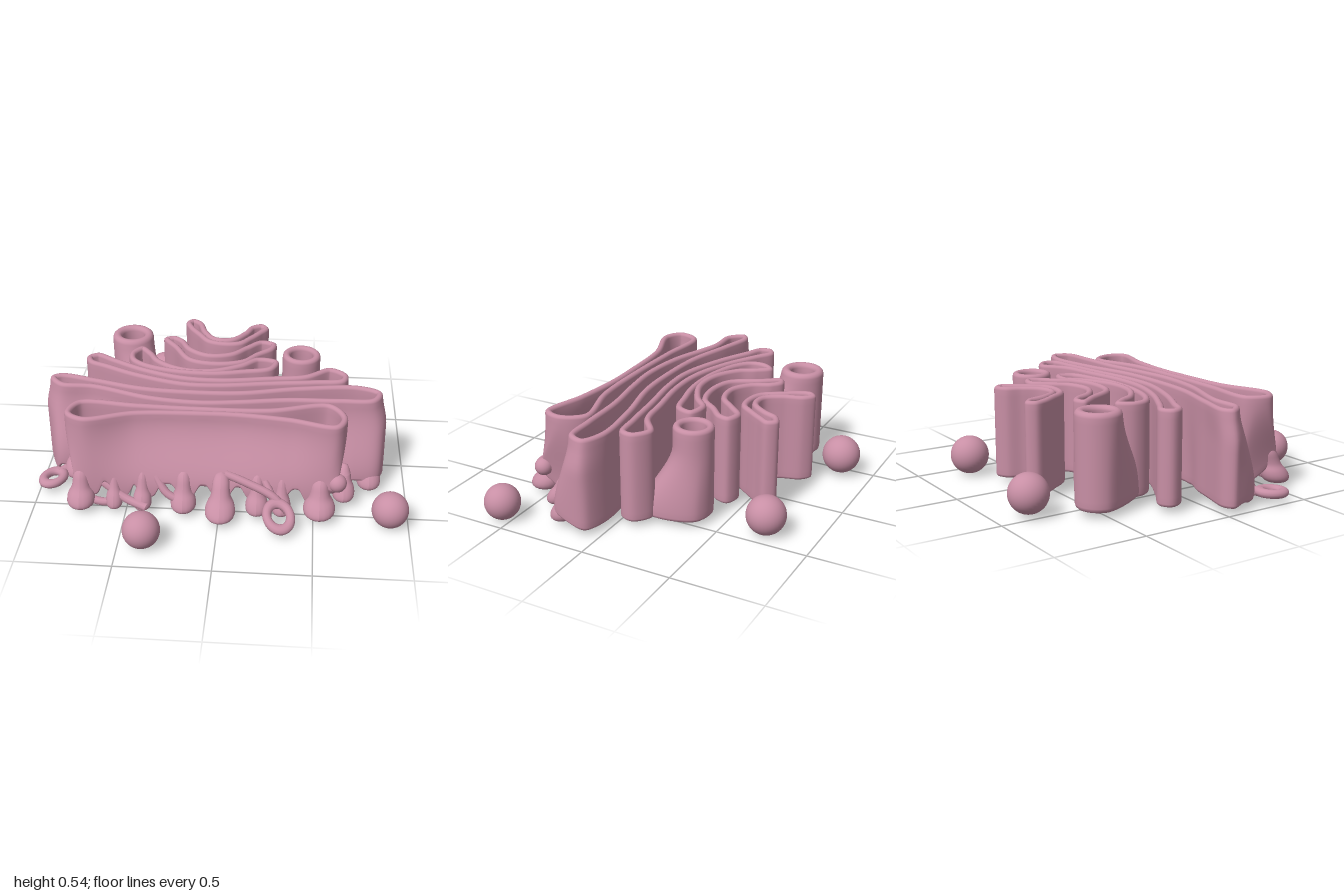
import * as THREE from 'three';

const smooth = THREE.MathUtils.smoothstep;
const lerp = THREE.MathUtils.lerp;
const BOTTOM = 0.03, TOP = 0.535;

// Outlines of the folded sacs in hundredths of a unit (x, z), running clockwise seen from above
const SACS = [
  [-29, -68, -25, -72, -19, -68, -15, -57, -9, -49, -1, -49, 6, -57, 10, -65, 17, -68, 21, -63, 17, -56, 12, -49, 6, -42, -3, -40, -14, -43, -21, -52, -27, -61],
  [-40, -46, -34, -49, -28, -45, -22, -35, -12, -29, 0, -31, 8, -39, 17, -47, 26, -44, 25, -37, 17, -29, 9, -20, -7, -16, -23, -20, -33, -35],
  [-57, -28, -51, -35, -44, -28, -39, -20, -26, -12, -10, -11, 6, -18, 16, -26, 28, -23, 25, -13, 9, -8, -7, -5, -29, -6, -48, -12, -56, -19],
  [-81, -21, -75, -25, -64, -19, -45, -9, -23, -2, -2, -1, 25, -5, 43, -8, 57, -17, 67, -10, 65, -2, 49, 1, 25, 4, -2, 8, -23, 8, -50, 0, -69, -9, -79, -14],
];
const WIDE_SAC = [-97, 4, -92, 0, -72, 4, -45, 11, -18, 13, 9, 12, 41, 5, 73, 2, 85, 8, 81, 18, 62, 20, 35, 21, 9, 25, -13, 27, -40, 24, -72, 14, -90, 13];
const FRONT_SAC = [-82, 41, -77, 28, -45, 29, -13, 30, 25, 29, 57, 22, 66, 35, 61, 46, 35, 41, 9, 38, -13, 38, -45, 40, -72, 48];

// Drips under the front sac: x, bulb radius
const DRIPS = [[-0.74, 0.075], [-0.56, 0.045], [-0.41, 0.05], [-0.19, 0.068], [0.01, 0.08], [0.2, 0.06], [0.33, 0.05], [0.53, 0.085]];

const outline = (a) => {
  const pts = [];
  for (let i = 0; i < a.length; i += 2) pts.push(new THREE.Vector3(a[i] / 100, 0, a[i + 1] / 100));
  return pts;
};
const circle = (cx, cz, r) => Array.from({ length: 16 }, (_, i) => {
  const a = (i / 16) * Math.PI * 2;
  return new THREE.Vector3(cx + Math.cos(a) * r, 0, cz + Math.sin(a) * r);
});

// Closed upright wall with rounded lips; base(p) gives the lower edge, bend(p) moves each vertex
function wallGeometry(pts, { t = 0.036, base = () => BOTTOM, bend = () => {}, n = 200 } = {}) {
  const curve = new THREE.CatmullRomCurve3(pts, true, 'centripetal');
  const section = []; // [distance outward, height 0..1, lip offset]
  const r = t / 2, rows = 14;
  for (let j = 0; j <= rows; j++) section.push([0, j / rows, 0]);
  for (let j = 1; j < 6; j++) section.push([-r + r * Math.cos(j * Math.PI / 6), 1, r * Math.sin(j * Math.PI / 6)]);
  for (let j = rows; j >= 0; j--) section.push([-t, j / rows, 0]);
  for (let j = 1; j < 6; j++) section.push([-r - r * Math.cos(j * Math.PI / 6), 0, -r * Math.sin(j * Math.PI / 6)]);
  const m = section.length, pos = [], idx = [], v = new THREE.Vector3();
  for (let i = 0; i < n; i++) {
    const p = curve.getPointAt(i / n), d = curve.getTangentAt(i / n);
    const low = base(p) + r;
    section.forEach(([o, h, lip], j) => {
      v.set(p.x + d.z * o, lerp(low, TOP - r, h) + lip, p.z - d.x * o);
      bend(v, p);
      pos.push(v.x, v.y, v.z);
      const i2 = (i + 1) % n, j2 = (j + 1) % m;
      const a = i * m + j, b = i2 * m + j, c = i2 * m + j2, e = i * m + j2;
      idx.push(a, e, b, b, e, c);
    });
  }
  const g = new THREE.BufferGeometry();
  g.setAttribute('position', new THREE.Float32BufferAttribute(pos, 3));
  g.setIndex(idx);
  g.computeVertexNormals();
  return g;
}

export function createModel() {
  const model = new THREE.Group();
  const pink = new THREE.MeshStandardMaterial({ color: 0xc88fa5 });
  pink.name = 'dusty pink';
  const add = (name, geometry, x = 0, y = 0, z = 0) => {
    const mesh = new THREE.Mesh(geometry, pink);
    mesh.name = name;
    mesh.position.set(x, y, z);
    model.add(mesh);
  };
  const strand = (pts, r) => add('strand', new THREE.TubeGeometry(
    new THREE.CatmullRomCurve3(pts.map((p) => new THREE.Vector3(...p))), 20, r, 10));

  // Straight folded sacs
  SACS.forEach((a, i) => add('foldedSac' + (i + 1), wallGeometry(outline(a))));

  // Widest sac, its two ends swelling forward near the floor and gently arched on the front side
  const sacEnd = (p) => smooth(Math.abs(p.x), 0.45, 0.7) * smooth(p.z, 0.05, 0.17);
  add('wideSac', wallGeometry(outline(WIDE_SAC), {
    n: 320,
    base: (p) => BOTTOM + 0.05 * sacEnd(p) * smooth(Math.abs(Math.sin(p.x * 24)), 0.2, 0.9),
    bend: (v, p) => {
      v.z += (p.x > 0 ? 0.09 : 0.12) * (1 - smooth(v.y, 0.1, 0.5)) * sacEnd(p);
      v.x += Math.sign(p.x) * 0.03 * (1 - smooth(v.y, 0.35, 0.53)) * smooth(Math.abs(p.x), 0.6, 0.85);
    },
  }));

  // Front sac, sloping forward to a common line and arched between its drips
  const front = (p) => smooth(p.z, 0.3, 0.38);
  add('frontSac', wallGeometry(outline(FRONT_SAC), {
    n: 320,
    base: (p) => {
      const gap = Math.min(...DRIPS.map((d) => Math.abs(d[0] - p.x)));
      return BOTTOM + 0.13 * front(p) * (0.35 + 0.65 * smooth(gap, 0.02, 0.09));
    },
    bend: (v, p) => {
      v.z += Math.max(0, 0.515 - p.z) * (1 - smooth(v.y, 0.12, 0.5)) * front(p);
      v.x *= 1 - 0.08 * (1 - smooth(v.y, 0.05, 0.48));
    },
  }));

  // Two round tubes at the back, stretched toward the stack below the height "from"
  const backTube = (name, cx, cz, r, t, sx, sz, from, widen) => add(name, wallGeometry(circle(cx, cz, r), {
    t, n: 64,
    bend: (v, p) => {
      const k = 1 - smooth(v.y, 0.05, from);
      const side = smooth(((p.x - cx) * sx + (p.z - cz) * sz) / (r * Math.hypot(sx, sz)), -0.6, 0.9);
      v.x += sx * k * side + Math.max(0, p.x - cx) * widen * k;
      v.z += sz * k * side;
    },
  }));
  backTube('backTubeRight', -0.59, -0.503, 0.12, 0.053, 0.1, 0.19, 0.53, 0);
  backTube('backTubeLeft', 0.41, -0.318, 0.108, 0.042, 0.03, 0.15, 0.42, 0.4);

  // Drips with rounded bulbs whose narrow tops run up into the wall
  const drip = (x, z, r, lean, h) => {
    const profile = [[0, 0.03], [0.6, 0.03], [0.92, 0.045], [1, 0.07], [0.9, 0.1], [0.68, 0.13], [0.6, 0.16], [0.55, h - 0.03], [0.35, h], [0, h + 0.01]];
    const spline = new THREE.SplineCurve(profile.map(([a, b]) => new THREE.Vector2(a * r, b)));
    const g = new THREE.LatheGeometry(spline.getPoints(28).map((q) => new THREE.Vector2(Math.max(q.x, 0), q.y)), 20);
    const p = g.attributes.position;
    for (let i = 0; i < p.count; i++) p.setZ(i, p.getZ(i) - lean * (p.getY(i) - 0.06));
    g.computeVertexNormals();
    add('drip', g, x, 0, z);
  };
  DRIPS.forEach(([x, r], i) => drip(x, i === 4 ? 0.59 : 0.53, r, i === 4 ? 0.6 : 0.35, 0.23));
  drip(0.8, 0.245, 0.065, 0.3, 0.22);
  drip(0.66, 0.37, 0.06, 0.4, 0.2);
  drip(-0.82, 0.25, 0.06, 0.4, 0.22);

  // Small budding bulb on the front corner
  add('smallBud', new THREE.SphereGeometry(0.05, 24, 16), 0.62, 0.2, 0.48);

  // Open hoops near the floor
  const hoop = (x, y, z, r, turn, tilt) => {
    const g = new THREE.TorusGeometry(r, 0.024, 12, 32);
    g.scale(1, 1.25, 1);
    g.rotateX(tilt - Math.PI / 2);
    g.rotateY(turn);
    add('hoop', g, x, y, z);
  };
  hoop(0.32, 0.085, 0.64, 0.062, 0.3, 0.45);
  hoop(-0.93, 0.055, 0.335, 0.05, -0.5, 0.05);

  // Thin strands linking drips and hoops to the wall
  strand([[0.03, 0.23, 0.48], [0.14, 0.2, 0.51], [0.28, 0.15, 0.55], [0.36, 0.08, 0.58]], 0.022);
  strand([[0.24, 0.2, 0.49], [0.28, 0.14, 0.54], [0.3, 0.1, 0.58]], 0.02);
  strand([[-0.62, 0.15, 0.49], [-0.5, 0.08, 0.53], [-0.38, 0.06, 0.58]], 0.024);
  strand([[-0.34, 0.2, 0.48], [-0.28, 0.12, 0.52], [-0.2, 0.08, 0.54]], 0.022);
  strand([[-0.74, 0.06, 0.5], [-0.62, 0.05, 0.53], [-0.55, 0.06, 0.53]], 0.022);
  strand([[-0.84, 0.07, 0.22], [-0.88, 0.06, 0.26], [-0.91, 0.055, 0.29]], 0.026);

  // Free-floating round vesicles
  for (const [x, y, z, r] of [[-0.445, 0.12, -0.82, 0.106], [0.395, 0.11, -0.73, 0.106], [0.9, 0.097, 0.555, 0.097], [-0.375, 0.098, 0.82, 0.098]])
    add('vesicle', new THREE.SphereGeometry(r, 32, 24), x, y, z);

  return model;
}
